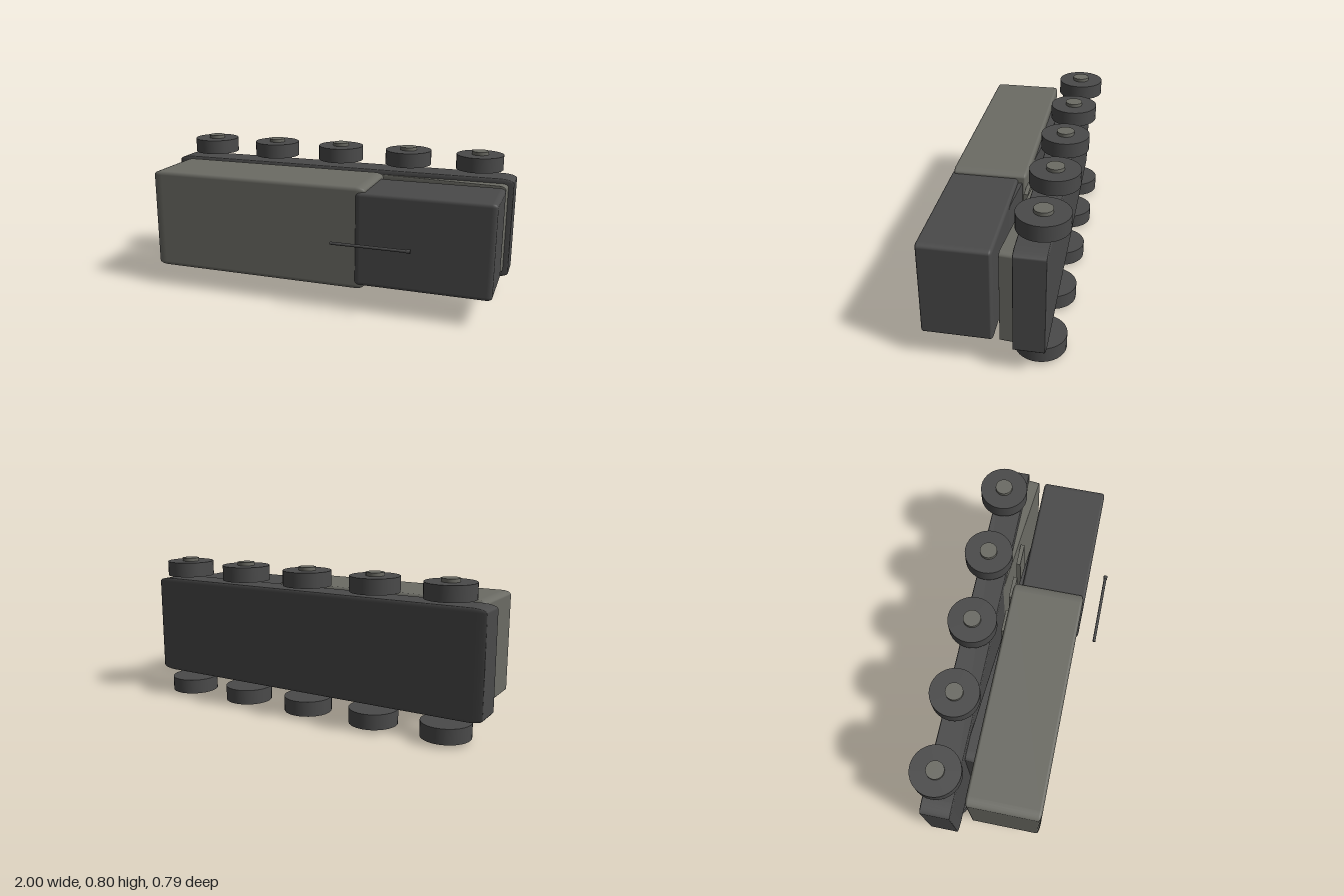
import * as THREE from 'three';
import { RoundedBoxGeometry } from 'three/addons/geometries/RoundedBoxGeometry.js';

export function createModel() {
  const model = new THREE.Group();
  const dark = new THREE.MeshStandardMaterial({ color: 0x4a4a4a });
  dark.name = 'dark grey';
  const light = new THREE.MeshStandardMaterial({ color: 0x6b6b64 });
  light.name = 'warm grey';

  const add = (name, geometry, material, x, y, z) => {
    const mesh = new THREE.Mesh(geometry, material);
    mesh.name = name;
    mesh.position.set(x, y, z);
    model.add(mesh);
    return mesh;
  };
  // Softened box, its rounding stretched along with its size
  const block = (name, material, size, at) =>
    add(name, new RoundedBoxGeometry(1, 1, 1, 3, 0.04).scale(...size), material, ...at);

  // Vehicle lying on its side: roof towards +z, wheels towards -z
  block('chassis', dark, [2, 0.55, 0.16], [0, 0.4, -0.235]);
  block('cargoBody', light, [1.225, 0.55, 0.385], [-0.31, 0.4, 0.087]);
  block('cab', dark, [0.715, 0.5, 0.35], [0.612, 0.4, 0.113]);

  // Sloping plates between chassis and superstructure
  block('innerRamp', dark, [1.25, 0.455, 0.06], [-0.07, 0.4, -0.086]).rotation.y = -0.083;
  block('frontPlate', light, [0.77, 0.5, 0.07], [0.585, 0.4, -0.16]).rotation.y = -0.09;

  // Thin slats under the superstructure
  [0.1, 0.305, 0.51].forEach((x, i) =>
    add('slat' + (i + 1), new THREE.BoxGeometry(0.125, 0.4, 0.022), light, x, 0.4, -0.113));

  // Rod above the roof with a thicker tip
  add('rod', new THREE.CylinderGeometry(0.008, 0.008, 0.4, 12).rotateZ(Math.PI / 2), dark, 0.355, 0.4, 0.382);
  add('rodTip', new THREE.CylinderGeometry(0.011, 0.011, 0.02, 12).rotateZ(Math.PI / 2), dark, 0.562, 0.4, 0.382);

  // Five wheels with hubs on each side
  for (const side of [-1, 1]) {
    for (let i = 0; i < 5; i++) {
      const x = -0.8 + i * 0.4;
      add('wheel', new THREE.CylinderGeometry(0.128, 0.128, 0.08, 32), dark, x, 0.4 + side * 0.34, -0.264);
      add('hub', new THREE.CylinderGeometry(0.046, 0.046, 0.09, 24), light, x, 0.4 + side * 0.353, -0.264);
    }
  }
  return model;
}
